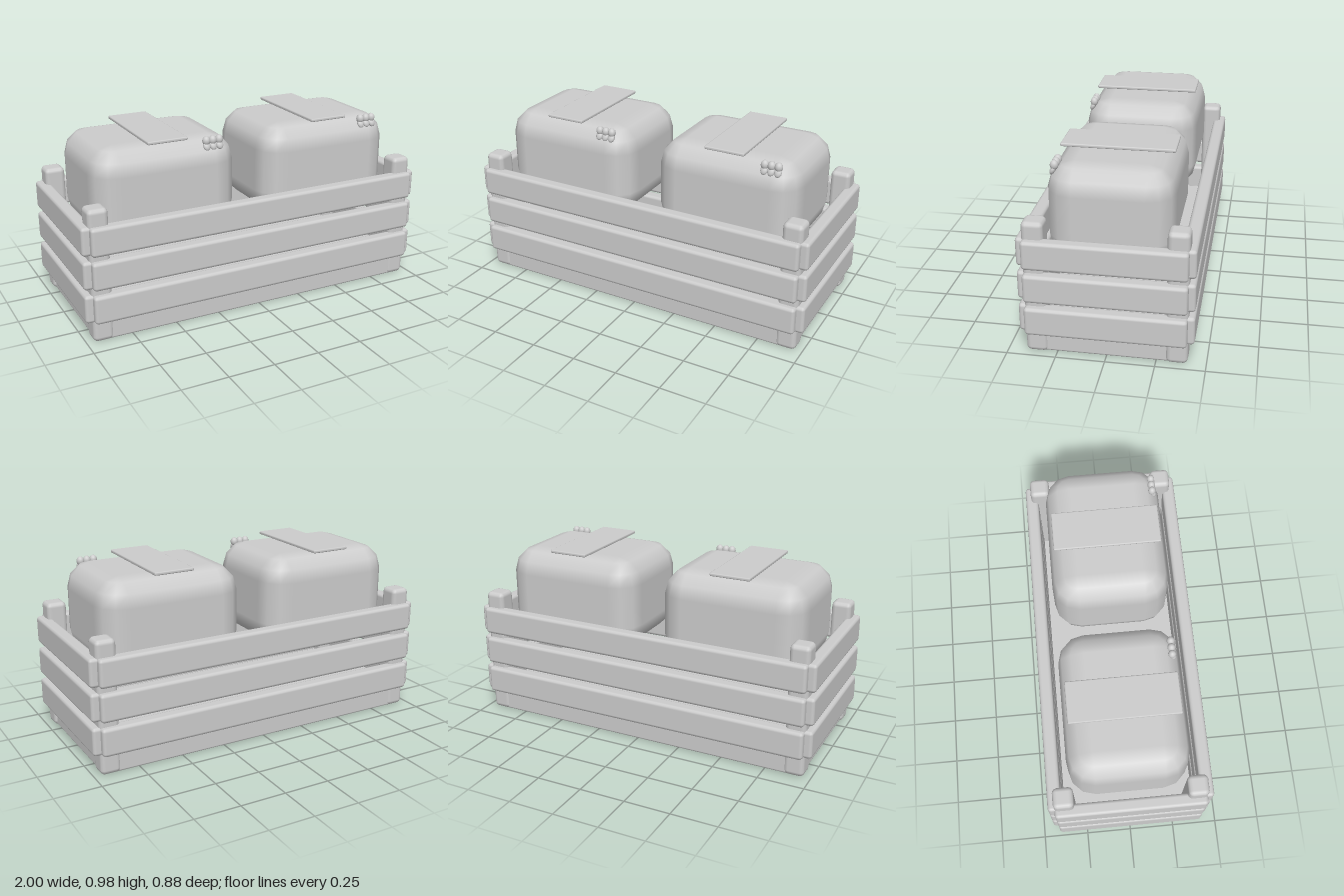
import * as THREE from 'three';

const grey = new THREE.MeshStandardMaterial({ color: 0xcccccc });
grey.name = 'plain grey';

// Box with rounded edges: rings of latitude, each a rounded rectangle.
function roundedBox(w, h, d, r, steps) {
  const pos = [], nor = [], idx = [];
  const n = 4 * (steps + 1), rings = 2 * (steps + 1);
  const hx = w / 2 - r, hy = h / 2 - r, hz = d / 2 - r;
  const signs = [[1, 1], [-1, 1], [-1, -1], [1, -1]];
  for (let i = 0; i < rings; i++) {
    const upper = i > steps;
    const lat = (upper ? i - steps - 1 : i - steps) / steps * Math.PI / 2;
    for (let q = 0; q < 4; q++) {
      for (let j = 0; j <= steps; j++) {
        const a = (q + j / steps) * Math.PI / 2;
        const nx = Math.cos(lat) * Math.cos(a), ny = Math.sin(lat), nz = Math.cos(lat) * Math.sin(a);
        pos.push(signs[q][0] * hx + r * nx, (upper ? hy : -hy) + r * ny, signs[q][1] * hz + r * nz);
        nor.push(nx, ny, nz);
      }
    }
  }
  for (let i = 0; i < rings - 1; i++) {
    for (let j = 0; j < n; j++) {
      const a = i * n + j, b = i * n + (j + 1) % n;
      idx.push(a, a + n, b, b, a + n, b + n);
    }
  }
  // Flat bottom and top
  const s = steps + 1, t = (rings - 1) * n;
  idx.push(0, s, 2 * s, 0, 2 * s, 3 * s);
  idx.push(t, t + 2 * s, t + s, t, t + 3 * s, t + 2 * s);
  const g = new THREE.BufferGeometry();
  g.setAttribute('position', new THREE.Float32BufferAttribute(pos, 3));
  g.setAttribute('normal', new THREE.Float32BufferAttribute(nor, 3));
  g.setIndex(idx);
  return g;
}

function add(parent, name, geometry, x, y, z) {
  const m = new THREE.Mesh(geometry, grey);
  m.name = name;
  m.position.set(x, y, z);
  parent.add(m);
  return m;
}

export function createModel() {
  const model = new THREE.Group();
  model.name = 'crate';

  // Crate floor
  add(model, 'floor', roundedBox(1.9, 0.125, 0.8, 0.012, 2), 0, 0.0645, 0);

  // Corner posts
  const post = roundedBox(0.11, 0.718, 0.11, 0.025, 3);
  for (const sx of [-1, 1]) {
    for (const sz of [-1, 1]) add(model, 'cornerPost', post, sx * 0.909, 0.36, sz * 0.353);
  }

  // Three rows of slats on all four sides
  const longSlat = roundedBox(1.92, 0.152, 0.072, 0.018, 3);
  const shortSlat = roundedBox(0.07, 0.152, 0.81, 0.018, 3);
  for (const y of [0.19, 0.374, 0.556]) {
    for (const s of [-1, 1]) {
      add(model, 'longSlat', longSlat, 0, y, s * 0.404);
      add(model, 'endSlat', shortSlat, s * 0.965, y, 0);
    }
  }

  // Two rounded loads, each with a top plate and a bead cluster
  const load = roundedBox(0.804, 0.515, 0.636, 0.14, 3);
  const plate = roundedBox(0.222, 0.018, 0.582, 0.007, 2);
  const bead = new THREE.SphereGeometry(1, 14, 10);
  for (const x of [-0.483, 0.478]) {
    const group = new THREE.Group();
    group.name = 'load';
    group.position.x = x;
    model.add(group);
    add(group, 'loadBody', load, 0, 0.7075, 0);
    add(group, 'topPlate', plate, 0, 0.976, 0);
    for (const bx of [0.219, 0.256, 0.293]) {
      add(group, 'upperBead', bead, bx, 0.945, 0.276).scale.set(0.021, 0.025, 0.021);
      const lower = add(group, 'lowerBead', bead, bx, 0.919, 0.283);
      lower.scale.set(0.02, 0.026, 0.014);
      lower.rotation.x = -0.5;
    }
  }
  return model;
}
